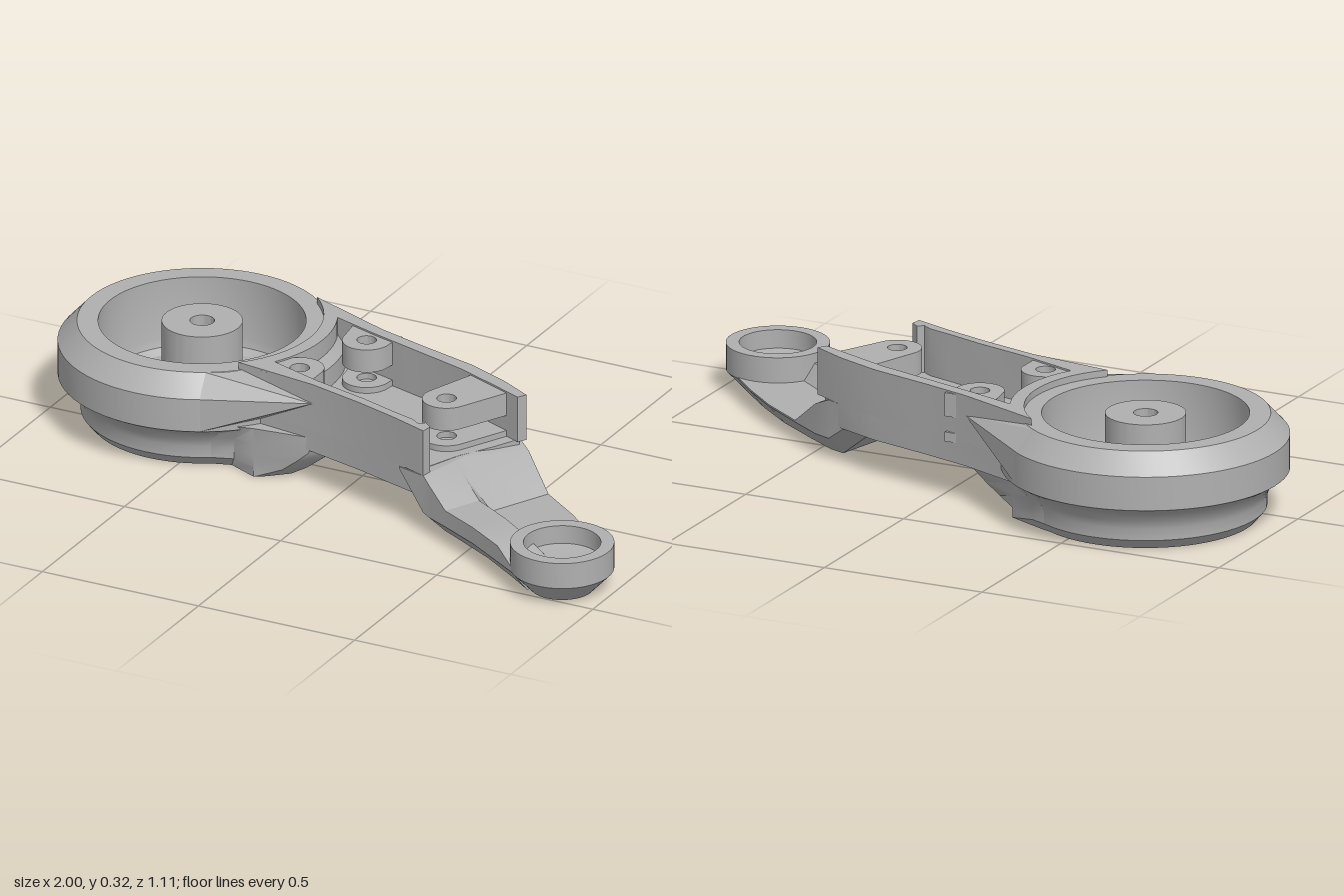
import * as THREE from 'three';
import { toCreasedNormals } from 'three/addons/utils/BufferGeometryUtils.js';
import { ConvexGeometry } from 'three/addons/geometries/ConvexGeometry.js';

const CX = -0.59, CZ = -0.145; // centre of the round housing

// Point on a circle around the housing axis, angle in degrees, as [x, z]
const polar = (r, deg) => {
  const a = (deg * Math.PI) / 180;
  return [CX + r * Math.cos(a), CZ + r * Math.sin(a)];
};
const arc = (r, from, to, n = 14) =>
  Array.from({ length: n + 1 }, (_, i) => polar(r, from + ((to - from) * i) / n));

// Plan outline in [x, z] raised from y0 to y1
function slab(outline, y0, y1, hole) {
  const shape = new THREE.Shape(outline.map(([x, z]) => new THREE.Vector2(x, -z)));
  if (hole) shape.holes.push(new THREE.Path().absarc(hole[0], -hole[1], hole[2], 0, Math.PI * 2));
  const g = new THREE.ExtrudeGeometry(shape, { depth: y1 - y0, bevelEnabled: false, curveSegments: 20 });
  g.rotateX(-Math.PI / 2).translate(0, y0, 0);
  return toCreasedNormals(g, 0.5);
}

// Skin over equal-length rings of [x, y, z], with fan caps
function loft(rings) {
  const n = rings[0].length, tris = [];
  const cap = (ring, flip) => {
    const c = [0, 1, 2].map((k) => ring.reduce((s, p) => s + p[k], 0) / n);
    ring.forEach((p, i) => {
      const q = ring[(i + 1) % n];
      tris.push(flip ? [c, q, p] : [c, p, q]);
    });
  };
  for (let r = 0; r < rings.length - 1; r++) {
    for (let i = 0; i < n; i++) {
      const j = (i + 1) % n, a = rings[r], b = rings[r + 1];
      tris.push([a[i], a[j], b[j]], [a[i], b[j], b[i]]);
    }
  }
  cap(rings[0], true);
  cap(rings[rings.length - 1], false);
  // Turn the skin outward when its signed volume is negative
  let volume = 0;
  for (const [a, b, c] of tris) {
    volume += new THREE.Vector3(...a).dot(new THREE.Vector3(...b).cross(new THREE.Vector3(...c)));
  }
  if (volume < 0) tris.forEach((t) => t.reverse());
  const g = new THREE.BufferGeometry();
  g.setAttribute('position', new THREE.Float32BufferAttribute(tris.flat(2), 3));
  return toCreasedNormals(g, 0.5);
}

function turned(profile, segments) {
  const g = new THREE.LatheGeometry(profile.map(([r, y]) => new THREE.Vector2(r, y)), segments);
  return toCreasedNormals(g, 0.45);
}

export function createModel() {
  const group = new THREE.Group();
  const grey = new THREE.MeshStandardMaterial({ color: 0xb0b0b0, side: THREE.DoubleSide });
  grey.name = 'plainGrey';
  const add = (name, geometry) => {
    const mesh = new THREE.Mesh(geometry, grey);
    mesh.name = name;
    group.add(mesh);
    return mesh;
  };

  // Round housing with open well, central hub and through hole
  add('roundHousing', turned([
    [0.035, 0], [0.32, 0], [0.345, 0.03], [0.345, 0.065], [0.355, 0.09], [0.375, 0.118],
    [0.41, 0.14], [0.41, 0.24], [0.355, 0.3], [0.295, 0.3], [0.295, 0.12], [0.287, 0.095],
    [0.265, 0.08], [0.165, 0.08], [0.135, 0.092], [0.115, 0.125], [0.115, 0.3], [0.035, 0.3], [0.035, 0],
  ], 72)).position.set(CX, 0, CZ);

  // Foot of the housing, sweeping up to the underside of the body
  const footLevels = [[0, 0.32, -0.17], [0.03, 0.345, -0.12], [0.065, 0.345, -0.075], [0.1, 0.36, -0.035], [0.15, 0.39, -0.02]];
  add('housingFoot', loft(footLevels.map(([y, r, xe]) => [
    polar(r, 58), polar(r + 0.02, 48), [-0.27, 0.15], [xe - 0.07, 0.13], [xe - 0.015, 0.08], [xe, -0.05],
    [xe - 0.015, -0.21], [xe - 0.07, -0.27], [-0.27, -0.35], polar(r + 0.01, -52), polar(r, -60),
    [-0.285, -0.23], [-0.28, -0.04],
  ].map(([x, z]) => [x, y, z]))));

  // Tapered shoulders where the housing flange runs out along the body
  const shoulder = (name, outer, top, tip, inner) => {
    const points = [
      [outer[0], 0.14, outer[1]], [outer[0], 0.24, outer[1]], [top[0], 0.3, top[1]],
      [tip[0], 0.26, tip[1]], [inner[0], 0.14, inner[1]], [inner[0], 0.3, inner[1]],
    ];
    add(name, new ConvexGeometry(points.map((p) => new THREE.Vector3(...p))));
  };
  shoulder('backShoulder', [-0.345, -0.473], [-0.38, -0.43], [-0.09, -0.288], [-0.27, -0.31]);
  shoulder('frontShoulder', [-0.405, 0.221], [-0.42, 0.165], [-0.09, 0.136], [-0.285, 0.06]);

  // Hollow middle body: floor and a U-shaped wall open towards the arm
  const backEdge = [[-0.09, -0.29], [0.06, -0.245], [0.245, -0.195], [0.38, -0.14], [0.48, -0.085]];
  const frontEdge = [[0.335, 0.268], [0.21, 0.222], [0.085, 0.182], [-0.09, 0.135]];
  const leftEdge = arc(0.345, 45, -47);
  add('bodyFloor', slab([
    ...leftEdge, ...backEdge.slice(0, 4), [0.46, -0.08], [0.42, 0], [0.36, 0.1], [0.32, 0.2], [0.3, 0.25],
    ...frontEdge.slice(1),
  ], 0.11, 0.18));
  add('bodyWall', slab([
    ...leftEdge, ...backEdge, [0.465, -0.06], [0.37, -0.1], [0.235, -0.155], [0.05, -0.21], [-0.1, -0.255],
    ...arc(0.385, -24, 30), [-0.09, 0.105], [0.085, 0.152], [0.2, 0.19], [0.27, 0.21], [0.3, 0.23], [0.315, 0.215], [0.34, 0.235],
    ...frontEdge,
  ], 0.18, 0.32));

  // Screw bosses: a lug joined to the wall, with a slot and a lower pad beneath
  const bosses = [[-0.1, -0.215, -0.1, -0.28], [-0.18, 0.04, -0.19, 0.12], [0.285, 0.03, 0.35, -0.12]];
  bosses.forEach(([x, z, ax, az], i) => {
    const away = Math.atan2(z - az, x - ax), r = 0.07;
    const round = Array.from({ length: 17 }, (_, k) => {
      const a = away - Math.PI / 2 + (k * Math.PI) / 16;
      return [x + r * Math.cos(a), z + r * Math.sin(a)];
    });
    const side = [-Math.sin(away) * 0.08, Math.cos(away) * 0.08];
    const outline = [...round, [ax + side[0], az + side[1]], [ax - side[0], az - side[1]]];
    add('screwLug' + (i + 1), slab(outline, 0.245, 0.315, [x, z, 0.028]));
    add('screwPad' + (i + 1), slab(outline, 0.17, 0.198, [x, z, 0.028]));
  });

  // Lengthwise grip ribs under the body
  for (let i = 0; i < 5; i++) {
    const off = (i - 2) * 0.068;
    const rib = add('gripRib' + (i + 1), new THREE.BoxGeometry(0.32, 0.03, 0.03));
    rib.position.set(0.12 - 0.31 * off, 0.108, -0.015 + 0.95 * off);
    rib.rotation.y = -0.31;
  }

  // Lower arm: front x, z, back x, z, bottom, front top, back top, groove depth
  const stations = [
    [0.24, 0.235, 0.29, -0.175, 0.11, 0.175, 0.175, 0],
    [0.335, 0.268, 0.43, -0.115, 0.005, 0.18, 0.18, 0],
    [0.36, 0.28, 0.49, -0.08, 0, 0.16, 0.15, 0.03],
    [0.43, 0.315, 0.59, -0.01, 0, 0.11, 0.065, 0.035],
    [0.55, 0.378, 0.72, 0.085, 0, 0.11, 0.065, 0.035],
    [0.67, 0.455, 0.83, 0.185, 0, 0.11, 0.065, 0.035],
    [0.74, 0.5, 0.94, 0.3, 0, 0.075, 0.065, 0.035],
  ];
  add('lowerArm', loft(stations.map(([fx, fz, bx, bz, y, yf, yb, d]) => [
    [0.16, y], [0, y + 0.06], [0, yf], [0.33, yf], [0.45, yb], [1, yb], [1, y + 0.06], [0.84, y],
    [0.72, y], [0.72, y + d], [0.28, y + d], [0.28, y],
  ].map(([t, h]) => [fx + (bx - fx) * t, h, fz + (bz - fz) * t]))));

  // Cup at the tip of the arm
  add('endCup', turned([
    [0, 0], [0.09, 0], [0.148, 0.062], [0.148, 0.14], [0.11, 0.14], [0.11, 0.085], [0.075, 0.08], [0, 0.08],
  ], 48)).position.set(0.852, 0, 0.405);

  return group;
}
